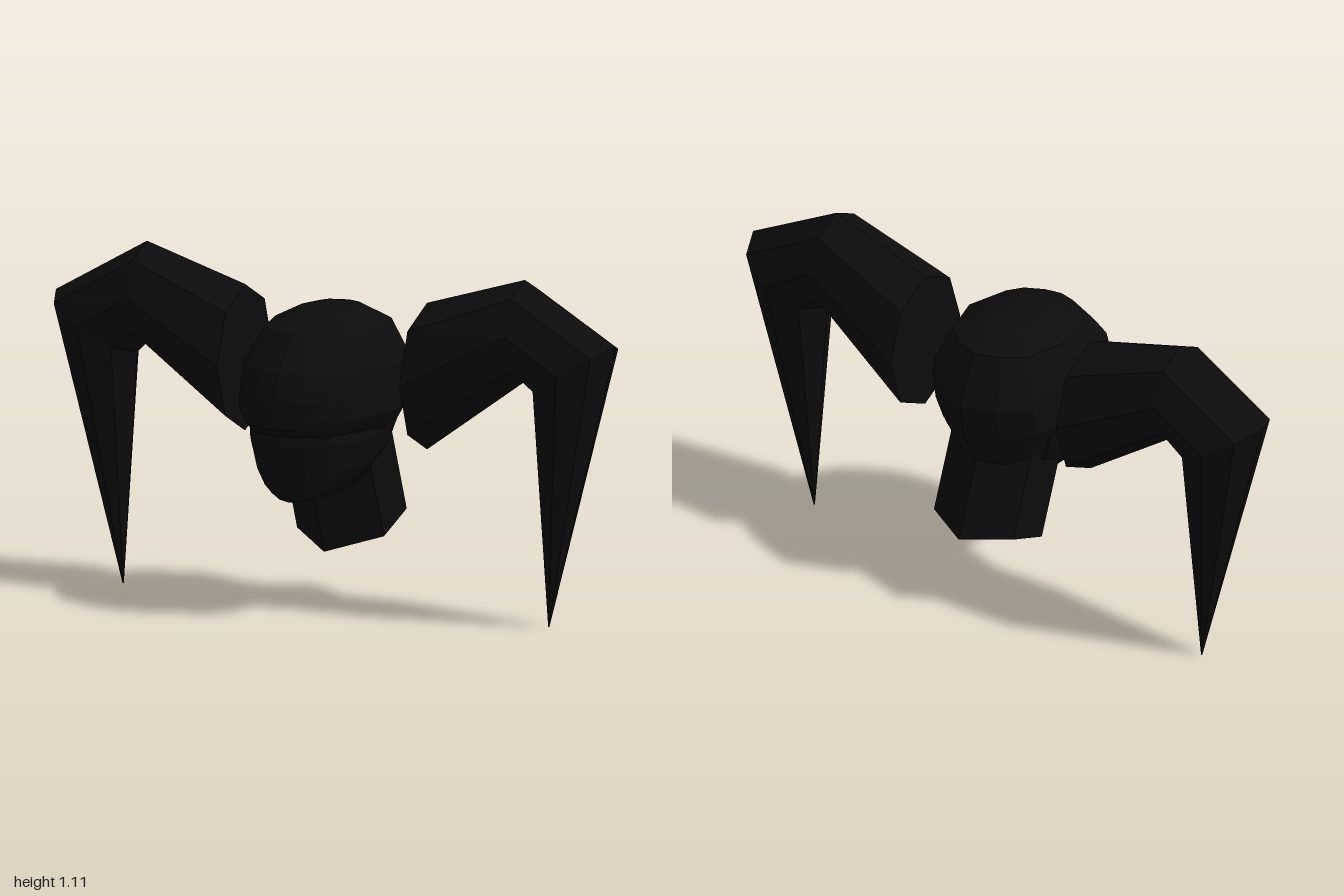
import * as THREE from 'three';

const dark = new THREE.MeshStandardMaterial({ color: 0x0c0c0c, flatShading: true, side: THREE.DoubleSide });

// Skins a list of equal-length rings of [x, y, z] points and caps both ends.
function loft(name, rings) {
  const pos = [];
  const tri = (a, b, c) => pos.push(...a, ...b, ...c);
  const n = rings[0].length;
  const centre = r => [0, 1, 2].map(k => r.reduce((s, p) => s + p[k], 0) / n);
  const first = rings[0], last = rings[rings.length - 1];
  const c0 = centre(first), c1 = centre(last);
  for (let i = 0; i < n; i++) {
    const j = (i + 1) % n;
    for (let r = 0; r + 1 < rings.length; r++) {
      const lo = rings[r], hi = rings[r + 1];
      tri(lo[i], lo[j], hi[j]);
      tri(lo[i], hi[j], hi[i]);
    }
    tri(c0, first[j], first[i]);
    tri(c1, last[i], last[j]);
  }
  const g = new THREE.BufferGeometry();
  g.setAttribute('position', new THREE.Float32BufferAttribute(pos, 3));
  g.computeVertexNormals();
  const mesh = new THREE.Mesh(g, dark);
  mesh.name = name;
  return mesh;
}

// Completes a half outline (front to back on the +x side) with its mirror image.
const mirror = half => [
  ...half,
  ...half.slice(1, -1).reverse().map(([x, ...rest]) => [-x, ...rest]),
];

// Rounded skull: egg-shaped rings given as [y, half width, front z, back z].
function cranium() {
  const egg = mirror([[0, 1], [0.28, 0.95], [0.6, 0.81], [0.78, 0.6], [1, 0],
    [0.78, -0.63], [0.44, -0.87], [0, -1]]);
  const levels = [
    [0.50, 0.15, 0.15, -0.21], [0.52, 0.18, 0.20, -0.235], [0.60, 0.21, 0.295, -0.28],
    [0.63, 0.23, 0.33, -0.295], [0.66, 0.252, 0.332, -0.305], [0.72, 0.252, 0.335, -0.318],
    [0.765, 0.252, 0.322, -0.325], [0.81, 0.25, 0.305, -0.305], [0.92, 0.19, 0.21, -0.248],
    [0.965, 0.10, 0.10, -0.16], [0.99, 0.005, -0.02, -0.03],
  ];
  return loft('cranium', levels.map(([y, w, f, b]) => {
    const mid = (f + b) / 2, half = (f - b) / 2;
    return egg.map(([x, z]) => [x * w, y, mid + z * half]);
  }));
}

// Jaw: [y, half width, front z] levels whose lower edge climbs toward the back.
function jaw() {
  const arch = mirror([[0, 1], [0.35, 0.95], [0.7, 0.8], [0.93, 0.58], [1, 0.3], [0.9, 0], [0, 0]]);
  const back = -0.1;
  const levels = [
    [0.385, 0.11, 0.25, 0.12], [0.405, 0.16, 0.27, 0.25], [0.46, 0.192, 0.28, 0.2],
    [0.57, 0.212, 0.305, 0.08], [0.61, 0.208, 0.30, 0],
  ];
  return loft('jaw', levels.map(([y, w, f, slope]) => arch.map(([x, t]) => {
    const z = back + t * (f - back);
    return [x * w, y + (f - z) * slope * (x === 0 ? 0.3 : 1), z];
  })));
}

// Six-sided neck leaning forward into the head, with a ridged lower end.
function neck() {
  const base = mirror([[0, 0.185, 0.01], [0.155, 0.23, -0.1], [0.155, 0.293, -0.252], [0, 0.275, -0.33]]);
  const shift = t => base.map(([x, y, z]) => [x, y + 0.27 * t, z + 0.1 * t]);
  return loft('neck', [shift(0), shift(0.5), shift(1)]);
}

// Side limb: an octagonal upper section bending at a mitre into a long spike.
// Sections are [x, y, outer offset x, outer offset y, half depth].
function limb(side) {
  const sections = [
    [0.325, 0.765, 0, 0.235, 0.185], [0.675, 0.943, 0, 0.163, 0.133],
    [0.855, 0.833, 0.145, 0.088, 0.133], [0.76, 0, 0.002, 0.001, 0.002],
  ];
  const rings = sections.map(([cx, cy, ux, uy, depth]) =>
    Array.from({ length: 8 }, (_, i) => {
      const a = i * Math.PI / 4, c = Math.cos(a), s = Math.sin(a) * side;
      return [side * (cx + ux * c), Math.max(0, cy + uy * c), -0.07 + depth * s];
    }));
  return loft(side > 0 ? 'leftLimb' : 'rightLimb', rings);
}

export function createModel() {
  const model = new THREE.Group();
  model.name = 'headWithSpikedLimbs';
  const head = new THREE.Group();
  head.name = 'head';
  head.add(cranium(), jaw(), neck());
  model.add(head, limb(1), limb(-1));
  return model;
}
